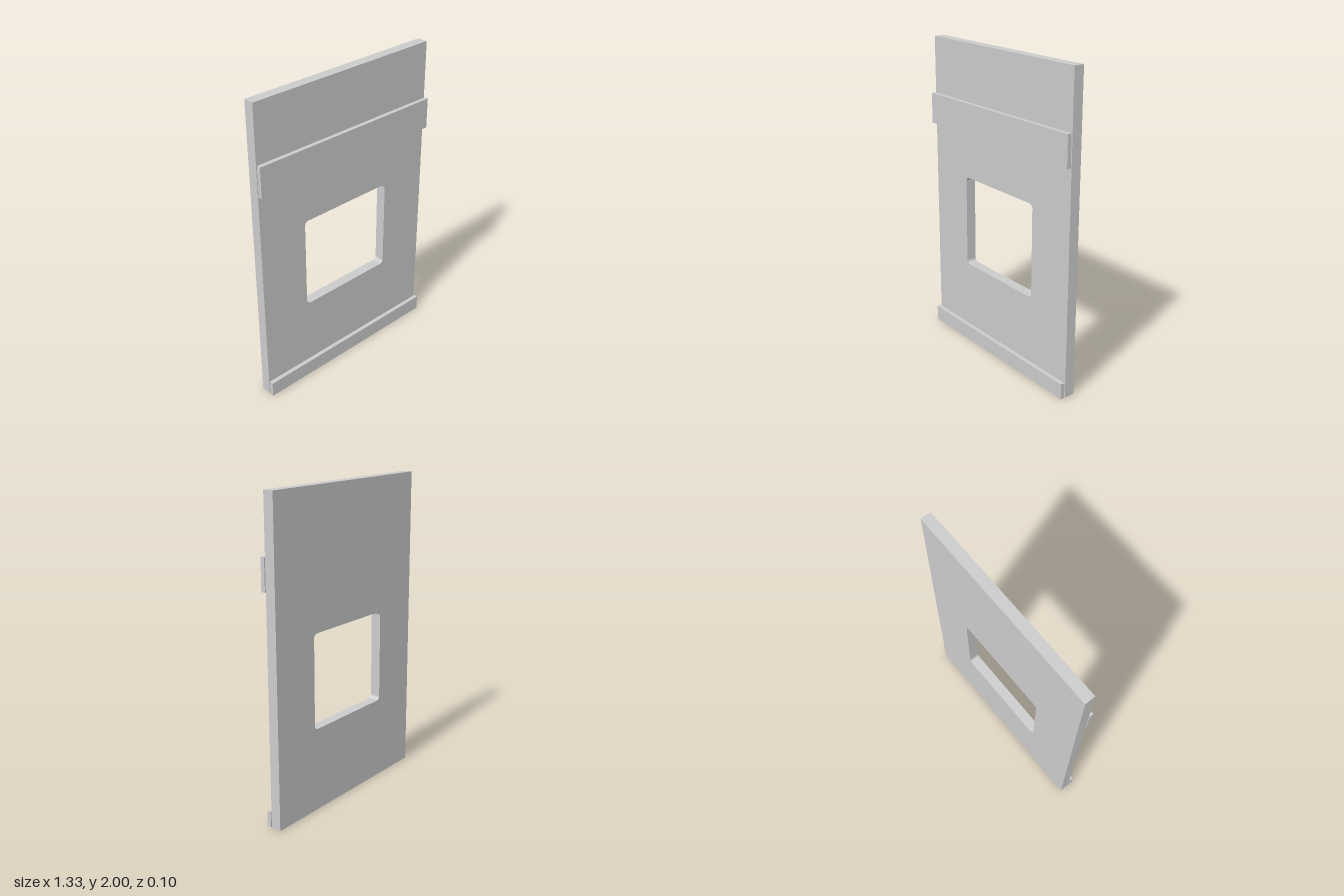
import * as THREE from 'three';

const WIDTH = 1.333, HEIGHT = 2;

// Rounded rectangle outline for the window opening
function roundedRect(x0, y0, x1, y1, r) {
  const p = new THREE.Path();
  p.absarc(x1 - r, y0 + r, r, -Math.PI / 2, 0);
  p.absarc(x1 - r, y1 - r, r, 0, Math.PI / 2);
  p.absarc(x0 + r, y1 - r, r, Math.PI / 2, Math.PI);
  p.absarc(x0 + r, y0 + r, r, Math.PI, Math.PI * 1.5);
  p.closePath();
  return p;
}

export function createModel() {
  const group = new THREE.Group();
  group.name = 'windowPanel';
  const material = new THREE.MeshStandardMaterial({ color: 0xcccccc });

  const add = (name, geometry) => {
    const mesh = new THREE.Mesh(geometry, material);
    mesh.name = name;
    group.add(mesh);
    return mesh;
  };

  // Main board with its rounded window
  const outline = new THREE.Shape([
    new THREE.Vector2(-WIDTH / 2, 0),
    new THREE.Vector2(WIDTH / 2, 0),
    new THREE.Vector2(WIDTH / 2, HEIGHT),
    new THREE.Vector2(-WIDTH / 2, HEIGHT),
  ]);
  outline.holes.push(roundedRect(-0.335, 0.535, 0.335, 1.137, 0.027));
  const board = new THREE.ExtrudeGeometry(outline, { depth: 0.0667, bevelEnabled: false, curveSegments: 8 });
  add('board', board).position.z = -0.05;

  // Flat strips standing just clear of the front face
  for (const [name, y0, y1] of [['lowerStrip', 0, 0.1], ['upperStrip', 1.437, 1.635]]) {
    const strip = add(name, new THREE.BoxGeometry(WIDTH, y1 - y0, 0.0267));
    strip.position.set(0, (y0 + y1) / 2, 0.0367);
  }

  return group;
}
